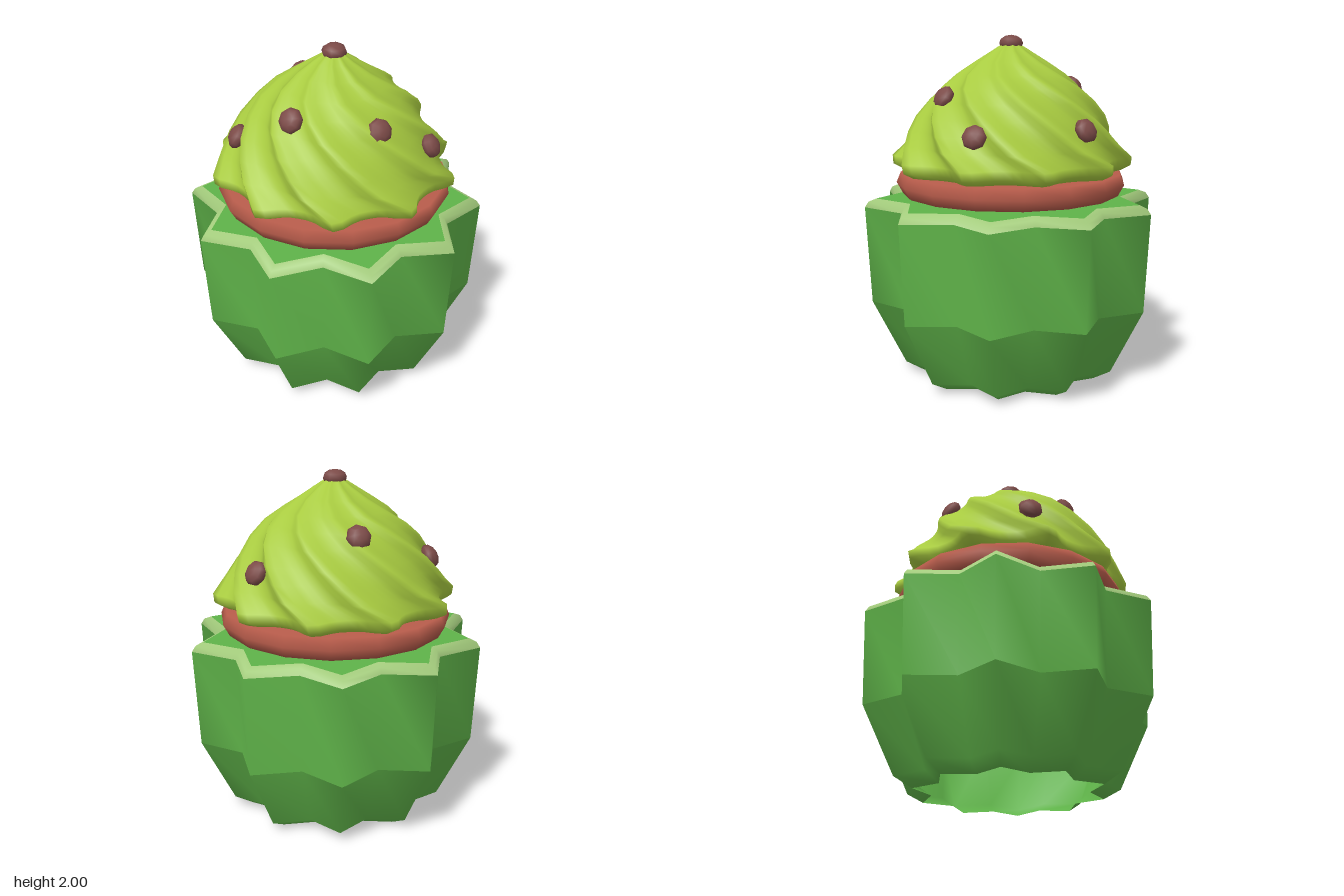
import * as THREE from 'three';

const mat = (name, color, side = THREE.FrontSide) => {
  const m = new THREE.MeshStandardMaterial({ color, side });
  m.name = name;
  return m;
};

// Closed ring surface; point(i, angle, j) gives [radius, y, angle], rows run bottom to top.
function ringSurface(rows, cols, point) {
  const pos = [], idx = [];
  for (let i = 0; i < rows; i++) {
    for (let j = 0; j < cols; j++) {
      const [r, y, a] = point(i, (j / cols) * Math.PI * 2, j);
      pos.push(r * Math.cos(a), y, -r * Math.sin(a));
      if (i === rows - 1) continue;
      const k = (j + 1) % cols, A = i * cols + j, B = i * cols + k;
      idx.push(A, B, A + cols, B, B + cols, A + cols);
    }
  }
  const g = new THREE.BufferGeometry();
  g.setAttribute('position', new THREE.Float32BufferAttribute(pos, 3));
  g.setIndex(idx);
  g.computeVertexNormals();
  return g;
}

// Ten-pointed star band following a [tip radius, y] profile.
const starBand = (profile) => ringSurface(profile.length, 20, (i, a, j) =>
  [profile[i][0] * (j % 2 ? 0.81 : 1), profile[i][1], a]);

// Frosting outline, mean radius and height.
const FROST = [[0.5, 1.2], [0.6, 1.22], [0.655, 1.25], [0.66, 1.3], [0.61, 1.38], [0.57, 1.46],
  [0.525, 1.54], [0.46, 1.63], [0.39, 1.71], [0.3, 1.78], [0.2, 1.85], [0.11, 1.91], [0.05, 1.95], [0.001, 1.96]];

function frostingGeometry() {
  return ringSurface(FROST.length, 80, (i, a) => {
    const [r, y] = FROST[i];
    const p = 10 * (a - THREE.MathUtils.degToRad(95));
    const lobe = Math.cos(p + 0.5 * Math.sin(p));
    const amp = r * (y < 1.32 ? 0.075 : 0.058);
    const rOut = y < 1.22 ? r : r + amp * lobe;
    // twist grows toward the base, so the ridges spiral down
    const twist = 3.2 * (r * r - 0.44) * (y < 1.29 ? 0 : 1);
    return [rOut, y, a + twist];
  });
}

export function createModel() {
  const group = new THREE.Group();
  const green = mat('cup green', 0x5fb349, THREE.DoubleSide);
  const pale = mat('pale rim green', 0xa3cb7c, THREE.DoubleSide);
  const lime = mat('frosting lime', 0xa8cb40);
  const red = mat('cake red', 0xb85c4b);
  const brown = mat('candy brown', 0x7c4b48);

  const add = (name, geometry, material, parent = group) => {
    const m = new THREE.Mesh(geometry, material);
    m.name = name;
    parent.add(m);
    return m;
  };

  // Star-shaped cup, open underneath
  add('cupBase', starBand([[0.54, 0], [0.645, 0.06], [0.835, 0.45]]), green);
  add('cupWall', starBand([[0.835, 0.45], [0.862, 1.02]]), green);
  add('cupRim', starBand([[0.862, 1.02], [0.84, 1.053], [0.795, 1.07]]), pale);
  const star = new THREE.Shape();
  for (let j = 0; j < 20; j++) {
    const r = 0.795 * (j % 2 ? 0.81 : 1), a = (j * Math.PI) / 10;
    star[j ? 'lineTo' : 'moveTo'](r * Math.cos(a), r * Math.sin(a));
  }
  const top = add('cupTop', new THREE.ShapeGeometry(star), green);
  top.rotation.x = -Math.PI / 2;
  top.position.y = 1.07;

  // Cake edge under the frosting
  const cake = [[0.001, 1.09], [0.64, 1.09], [0.675, 1.155], [0.65, 1.215], [0.001, 1.215]]
    .map(([x, y]) => new THREE.Vector2(x, y));
  add('cake', new THREE.LatheGeometry(cake, 16), red);

  // Swirled frosting with a closed underside
  add('frosting', frostingGeometry(), lime);
  const under = add('frostingUnderside', new THREE.CircleGeometry(0.5, 40), lime);
  under.rotation.x = Math.PI / 2;
  under.position.y = 1.2;

  // Candies pressed into the frosting, aligned to its slope
  const candies = new THREE.Group();
  candies.name = 'candies';
  group.add(candies);
  const up = new THREE.Vector3(0, 1, 0);
  const candyGeometry = new THREE.SphereGeometry(1, 8, 6);
  [[0, 1.955, 0], [0.02, 1.695, -0.41], [-0.52, 1.5, -0.18], [-0.365, 1.7, 0.165],
    [0.015, 1.655, 0.435], [0.37, 1.47, 0.42], [0.525, 1.49, -0.18]].forEach(([x, y, z]) => {
    const c = add('candy', candyGeometry, brown, candies);
    c.position.set(x, y, z);
    c.scale.set(0.072, 0.047, 0.072);
    const slope = 0.6 * Math.hypot(x, z);
    c.quaternion.setFromUnitVectors(up, new THREE.Vector3(x, slope, z).add(
      new THREE.Vector3(0, x || z ? 0 : 1, 0)).normalize());
  });
  return group;
}
